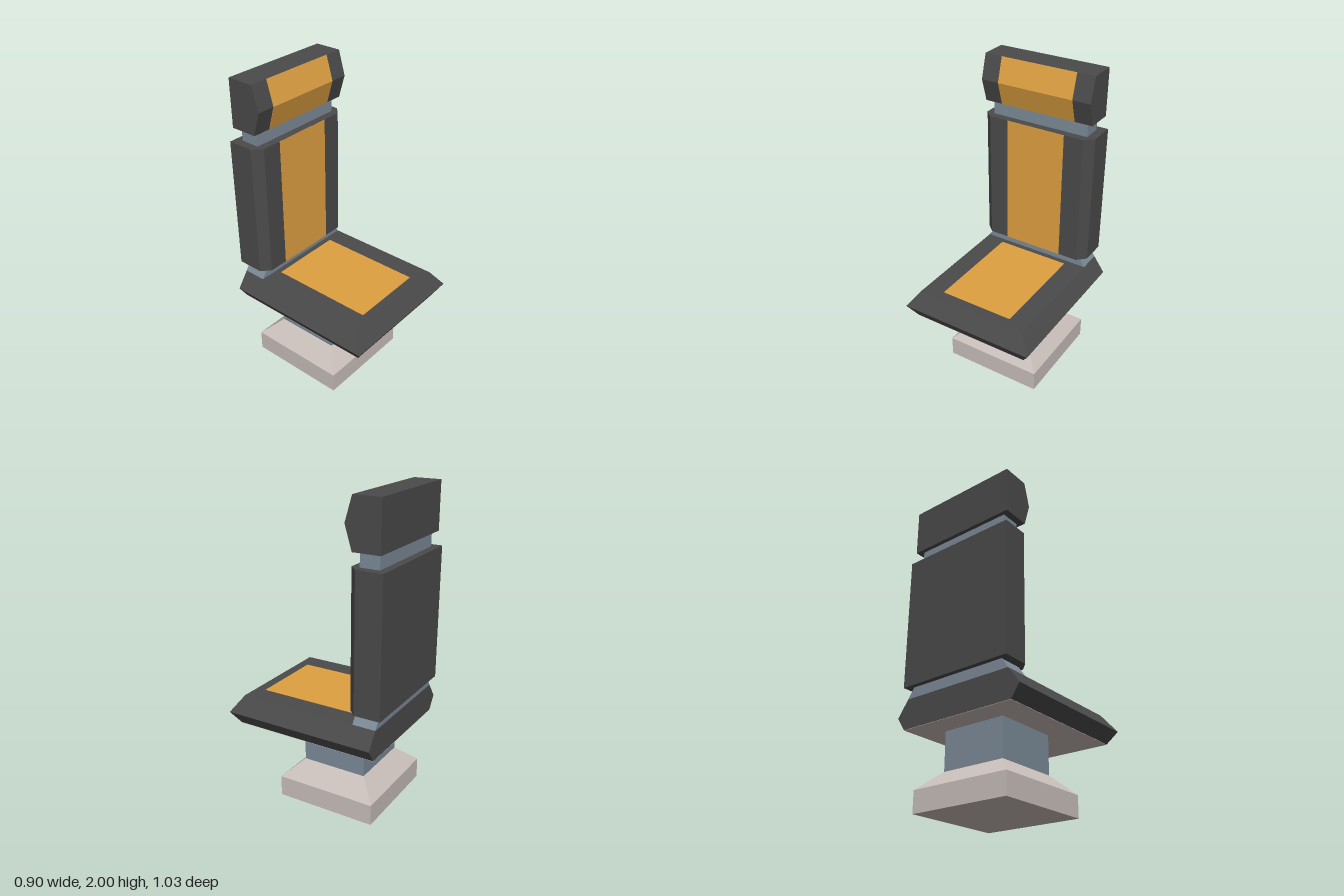
import * as THREE from 'three';

const paint = (name, color) => {
  const m = new THREE.MeshStandardMaterial({ color });
  m.name = name;
  return m;
};

// Stacked rectangles [y, halfWidth, zBack, zFront] joined by flat faces
function stack(rings) {
  const corners = rings.map(([y, w, b, f]) => [[-w, y, f], [w, y, f], [w, y, b], [-w, y, b]]);
  const pos = [];
  const quad = (a, b, c, d) => pos.push(...a, ...b, ...c, ...a, ...c, ...d);
  for (let i = 0; i < corners.length - 1; i++) {
    for (let k = 0; k < 4; k++) {
      const n = (k + 1) % 4;
      quad(corners[i][k], corners[i][n], corners[i + 1][n], corners[i + 1][k]);
    }
  }
  const first = corners[0];
  quad(first[3], first[2], first[1], first[0]);
  quad(...corners[corners.length - 1]);
  const g = new THREE.BufferGeometry();
  g.setAttribute('position', new THREE.Float32BufferAttribute(pos, 3));
  g.computeVertexNormals();
  return g;
}

const prism = (points, depth) => new THREE.ExtrudeGeometry(
  new THREE.Shape(points.map(([x, y]) => new THREE.Vector2(x, y))),
  { depth, bevelEnabled: false });

// Side profile [z, y] swept across x, centred
const sweepX = (points, halfWidth) =>
  prism(points, halfWidth * 2).translate(0, 0, -halfWidth).rotateY(-Math.PI / 2);

// Plan outline [x, -z] raised from y0 to y1
const sweepY = (points, y0, y1) =>
  prism(points, y1 - y0).rotateX(-Math.PI / 2).translate(0, y0, 0);

export function createModel() {
  const dark = paint('dark padding', 0x4a4a4a);
  const amber = paint('amber cushion', 0xdfa041);
  const slate = paint('slate metal', 0x7b8a97);
  const stone = paint('pale stone', 0xc8beb9);

  const chair = new THREE.Group();
  chair.name = 'chair';
  const add = (name, geometry, material) => {
    const mesh = new THREE.Mesh(geometry, material);
    mesh.name = name;
    chair.add(mesh);
  };

  // Pedestal
  add('base', stack([[0, 0.33, -0.44, 0.22], [0.135, 0.33, -0.44, 0.22], [0.245, 0.213, -0.323, 0.105]]), stone);
  add('post', stack([[0.245, 0.213, -0.323, 0.105], [0.49, 0.213, -0.323, 0.105]]), slate);

  // Seat with sloped rim, flat at the back
  add('seat', stack([[0.49, 0.395, -0.483, 0.47], [0.573, 0.45, -0.483, 0.52], [0.677, 0.375, -0.483, 0.45]]), dark);
  add('seatUnderside', stack([[0.488, 0.395, -0.483, 0.47], [0.49, 0.395, -0.483, 0.47]]), stone);
  add('seatCushion', stack([[0.677, 0.245, -0.295, 0.385], [0.679, 0.245, -0.295, 0.385]]), amber);

  // Backrest with chamfered front corners
  add('lowerJoint', stack([[0.677, 0.375, -0.483, -0.332], [0.742, 0.33, -0.483, -0.332]]), slate);
  add('backrest', sweepY([[-0.385, 0.515], [-0.385, 0.345], [-0.33, 0.292], [0.33, 0.292], [0.385, 0.345], [0.385, 0.515]],
    0.742, 1.605), dark);
  add('backCushion', stack([[0.742, 0.2, -0.292, -0.29], [1.605, 0.2, -0.292, -0.29]]), amber);

  // Headrest with a ridged front
  add('neck', stack([[1.605, 0.33, -0.467, -0.343], [1.695, 0.33, -0.467, -0.343]]), slate);
  add('headrest', sweepX([[-0.493, 1.695], [-0.317, 1.695], [-0.272, 1.846], [-0.317, 2], [-0.493, 2]], 0.373), dark);
  add('headCushion', sweepX([[-0.317, 1.695], [-0.315, 1.695], [-0.27, 1.846], [-0.315, 2], [-0.317, 2], [-0.272, 1.846]], 0.255), amber);

  return chair;
}
